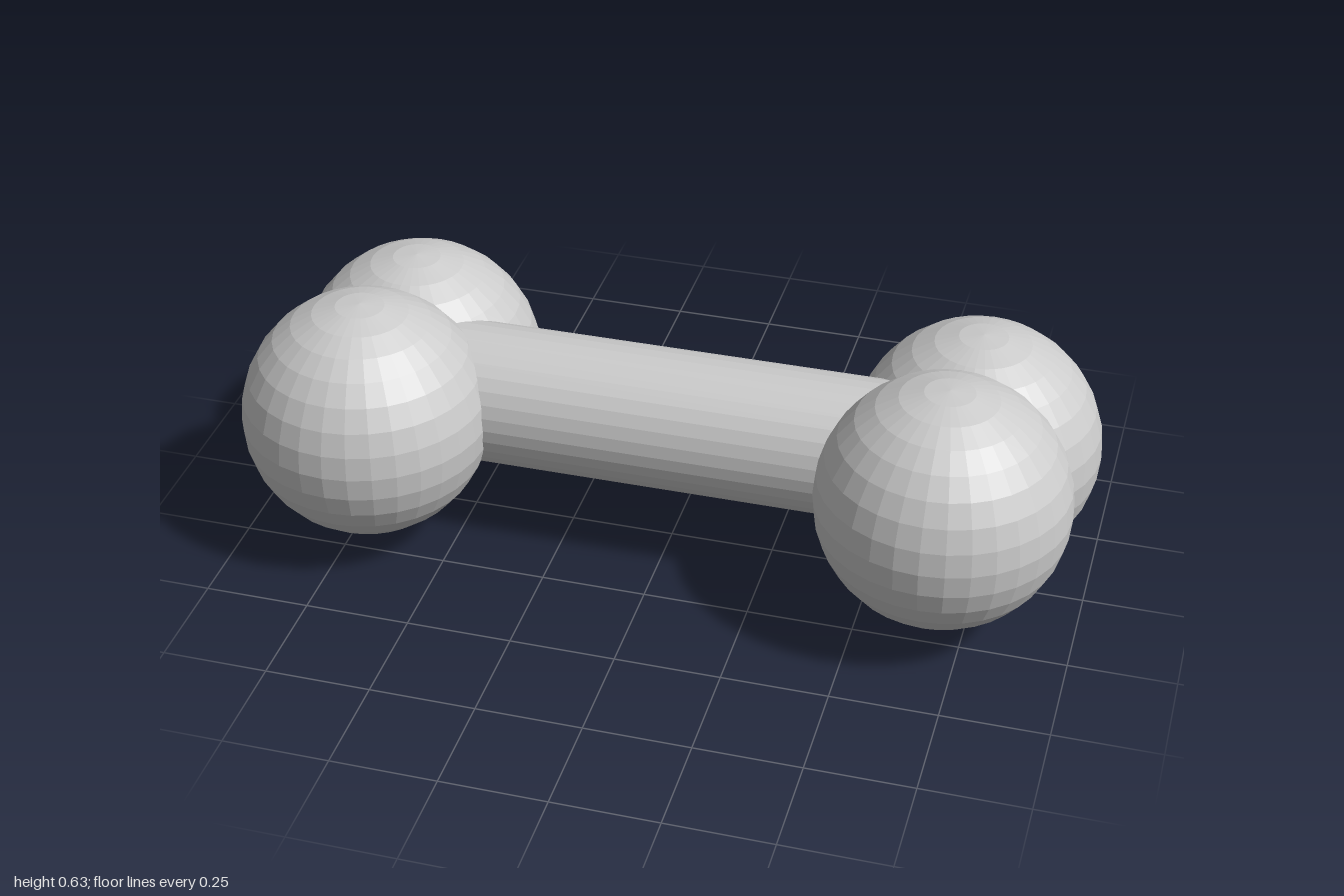
import * as THREE from 'three';

export function createModel() {
  const group = new THREE.Group();
  const material = new THREE.MeshStandardMaterial({ color: 0xcccccc, flatShading: true });

  // Straight shaft, its ends buried between the knobs
  const shaft = new THREE.Mesh(new THREE.CylinderGeometry(0.167, 0.167, 1.38, 32), material);
  shaft.name = 'shaft';
  shaft.rotation.z = Math.PI / 2;
  shaft.position.set(0, 0.342, 0.007);
  group.add(shaft);

  // Two overlapping knobs at each end; the back pair sits slightly lower
  const knobGeometry = new THREE.SphereGeometry(0.295, 32, 16);
  const knobs = [
    ['frontRightKnob', -0.705, 0.341, 0.158],
    ['frontLeftKnob', 0.677, 0.341, 0.158],
    ['backRightKnob', -0.682, 0.297, -0.16],
    ['backLeftKnob', 0.7, 0.297, -0.16],
  ];
  for (const [name, x, y, z] of knobs) {
    const knob = new THREE.Mesh(knobGeometry, material);
    knob.name = name;
    knob.position.set(x, y, z);
    group.add(knob);
  }
  return group;
}
